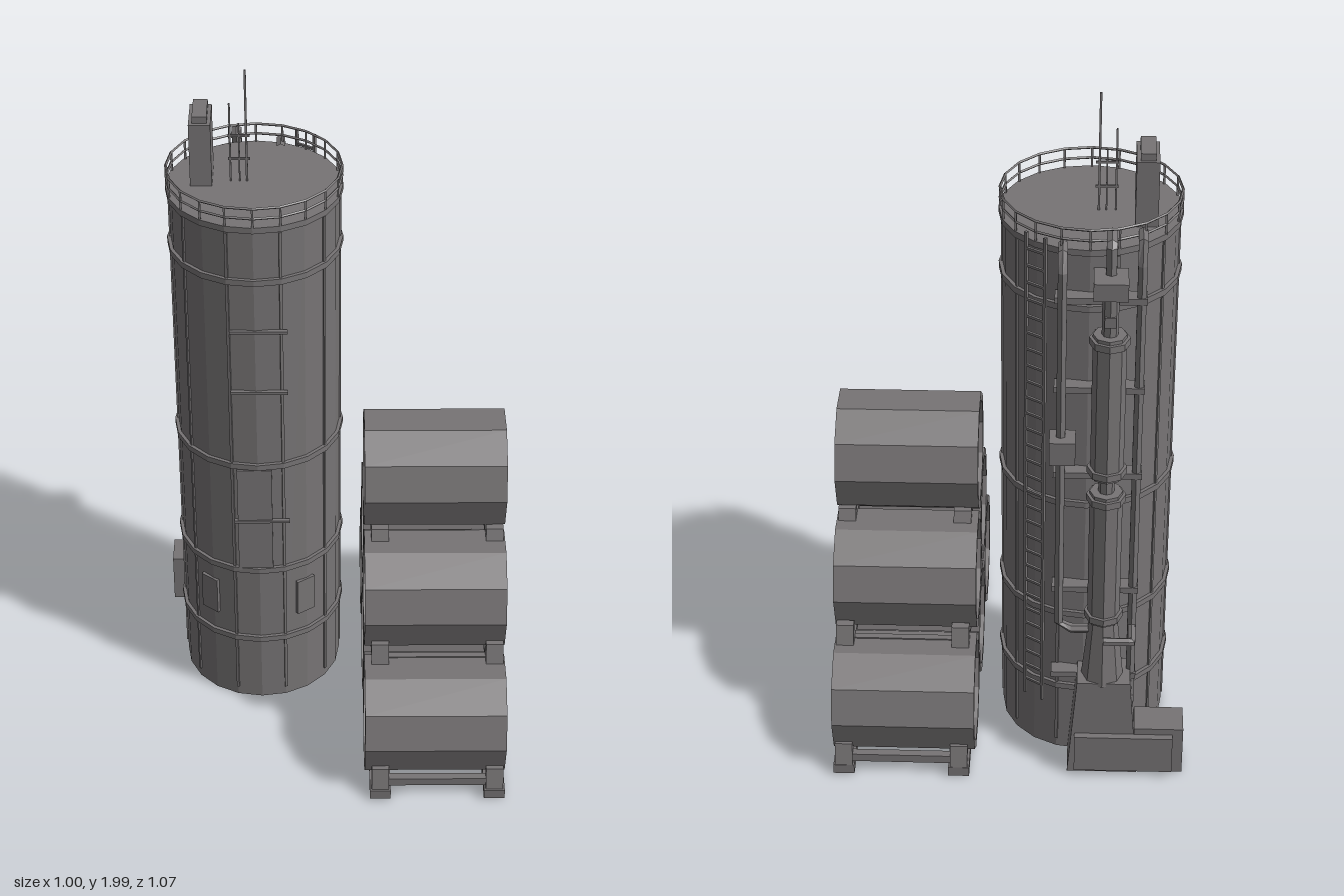
import * as THREE from 'three';

export function createModel() {
  const root = new THREE.Group();
  const steel = new THREE.MeshStandardMaterial({ color: 0x777475, flatShading: true });
  steel.name = 'grey steel';

  const add = (name, geo, x = 0, y = 0, z = 0, parent = root) => {
    const m = new THREE.Mesh(geo, steel);
    m.name = name;
    m.position.set(x, y, z);
    parent.add(m);
    return m;
  };
  const group = (name, x = 0, y = 0, z = 0) => {
    const g = new THREE.Group();
    g.name = name;
    g.position.set(x, y, z);
    root.add(g);
    return g;
  };
  // Box given by its minimum and maximum corners
  const block = (name, x0, x1, y0, y1, z0, z1, parent = root) =>
    add(name, new THREE.BoxGeometry(x1 - x0, y1 - y0, z1 - z0), (x0 + x1) / 2, (y0 + y1) / 2, (z0 + z1) / 2, parent);
  // Tube along straight segments with softened corners
  const pipe = (name, pts, r, parent = root) => {
    const path = new THREE.CurvePath();
    const v = pts.map(p => new THREE.Vector3(...p));
    for (let i = 1; i < v.length; i++) path.add(new THREE.LineCurve3(v[i - 1], v[i]));
    return add(name, new THREE.TubeGeometry(path, 24, r, 6), 0, 0, 0, parent);
  };

  // Tank shell
  const TX = -0.22, TZ = -0.155, R = 0.235, SIDES = 20;
  const tank = group('tank', TX, 0, TZ);
  add('tankShell', new THREE.CylinderGeometry(R, R, 1.65, SIDES), 0, 0.835, 0, tank);
  for (const y of [0.24, 0.5, 0.875, 1.49, 1.655])
    add('tankBand', new THREE.CylinderGeometry(R + 0.01, R + 0.01, 0.018, SIDES), 0, y, 0, tank);

  // Upright seams around the shell
  for (let i = 0; i < 10; i++) {
    const a = (i / 10) * Math.PI * 2 + Math.PI / 10;
    const s = add('seam', new THREE.BoxGeometry(0.008, 1.6, 0.008), Math.sin(a) * R, 0.84, Math.cos(a) * R, tank);
    s.rotation.y = a;
  }
  // Raised hatches and short step bars on the front
  for (const a of [-0.68, 0.6]) {
    const h = add('hatch', new THREE.BoxGeometry(0.06, 0.12, 0.012), Math.sin(a) * R, 0.375, Math.cos(a) * R, tank);
    h.rotation.y = a;
  }
  for (const y of [0.68, 1.13, 1.33])
    add('stepBar', new THREE.BoxGeometry(0.16, 0.008, 0.012), 0.01, y, R, tank);
  block('servicePlate', -0.06, 0.04, 0.5, 0.86, R - 0.006, R + 0.002, tank);

  // Roof guard rail
  for (const y of [1.69, 1.72])
    add('guardRail', new THREE.TorusGeometry(R + 0.006, 0.004, 4, SIDES).rotateX(Math.PI / 2), 0, y, 0, tank);
  for (let i = 0; i < SIDES; i++) {
    const a = (i / SIDES) * Math.PI * 2;
    add('railPost', new THREE.BoxGeometry(0.006, 0.06, 0.006), Math.sin(a) * (R + 0.006), 1.69, Math.cos(a) * (R + 0.006), tank);
  }

  // Roof vent and aerials
  const vent = group('roofVent');
  block('ventBox', -0.395, -0.335, 1.66, 1.85, -0.265, -0.14, vent);
  block('ventCap', -0.385, -0.345, 1.85, 1.87, -0.255, -0.15, vent);
  const aerial = group('aerial');
  block('aerialMast', -0.243, -0.237, 1.66, 2, -0.173, -0.167, aerial);
  block('aerialSide', -0.287, -0.282, 1.66, 1.9, -0.173, -0.167, aerial);
  block('aerialSide', -0.262, -0.258, 1.66, 1.84, -0.173, -0.167, aerial);
  for (const y of [1.73, 1.8])
    block('aerialBar', -0.29, -0.23, y, y + 0.006, -0.173, -0.167, aerial);

  // Process columns behind the tank
  const plant = group('pipework');
  for (const [y0, y1] of [[0.52, 0.95], [1.0, 1.44]]) {
    add('column', new THREE.CylinderGeometry(0.045, 0.045, y1 - y0, 8), -0.275, (y0 + y1) / 2, -0.435, plant);
    add('columnFlange', new THREE.CylinderGeometry(0.054, 0.054, 0.02, 8), -0.275, y0 + 0.02, -0.435, plant);
    add('columnFlange', new THREE.CylinderGeometry(0.054, 0.054, 0.02, 8), -0.275, y1 - 0.02, -0.435, plant);
  }
  add('columnStem', new THREE.CylinderGeometry(0.022, 0.022, 1.4, 8), -0.275, 0.9, -0.435, plant);
  block('columnHead', -0.32, -0.23, 1.56, 1.61, -0.48, -0.39, plant);
  block('columnBracket', -0.29, -0.26, 1.47, 1.5, -0.46, -0.37, plant);
  pipe('ventPipe', [[-0.275, 1.69, -0.35], [-0.275, 1.69, -0.42], [-0.275, 1.6, -0.42]], 0.016, plant);
  pipe('downPipe', [[-0.355, 1.69, -0.34], [-0.355, 1.69, -0.41], [-0.355, 0.2, -0.41]], 0.014, plant);
  pipe('downPipe', [[-0.15, 1.66, -0.36], [-0.15, 1.66, -0.43], [-0.15, 0.48, -0.43], [-0.24, 0.48, -0.43]], 0.014, plant);
  pipe('crossPipe', [[-0.355, 0.48, -0.41], [-0.355, 0.48, -0.49], [-0.275, 0.48, -0.49]], 0.012, plant);
  block('valveBox', -0.19, -0.12, 1.05, 1.12, -0.47, -0.4, plant);
  for (const y of [0.3, 0.6, 0.98, 1.25, 1.52])
    block('pipeClamp', -0.37, -0.13, y, y + 0.018, -0.425, -0.38, plant);

  // Base machinery: tapered cabinet and side box
  const cabinet = new THREE.BoxGeometry(0.2, 0.32, 0.12);
  const p = cabinet.attributes.position;
  for (let i = 0; i < p.count; i++) if (p.getY(i) > 0) p.setX(i, p.getX(i) * 0.75);
  add('pumpCabinet', cabinet, -0.28, 0.17, -0.43, plant);
  block('pumpBox', -0.51, -0.37, 0.015, 0.17, -0.49, -0.39, plant);
  block('pumpBackPlate', -0.48, -0.2, 0.03, 0.15, -0.51, -0.485, plant);
  add('pumpNeck', new THREE.CylinderGeometry(0.04, 0.06, 0.2, 8), -0.275, 0.42, -0.435, plant);

  // Service ladder
  const ladder = group('ladder', -0.08, 0, -0.385);
  ladder.rotation.y = -0.6;
  for (const x of [-0.03, 0.03]) block('ladderRail', x - 0.004, x + 0.004, 0.2, 1.7, -0.004, 0.004, ladder);
  for (let y = 0.25; y < 1.68; y += 0.05) block('rung', -0.03, 0.03, y, y + 0.007, -0.004, 0.003, ladder);

  // Stacked open pipe sections, 3-2-1
  const X0 = 0.085, X1 = 0.49, PR = 0.175, IN = 0.15;
  const ring = new THREE.LatheGeometry(
    [[PR, X0], [PR, X1], [IN, X1], [IN, X0], [PR, X0]].map(([r, x]) => new THREE.Vector2(r, x - (X0 + X1) / 2)), 10);
  ring.rotateZ(Math.PI / 2);
  const stack = group('pipeStack');
  const rows = [[0.19, [0.35, 0, -0.355]], [0.495, [0.155, -0.18]], [0.8, [-0.02]]];
  for (const [y, zs] of rows)
    for (const z of zs) add('pipeSection', ring, (X0 + X1) / 2, y, z, stack);

  // Cradle wedge: trapezoid extruded across the cradle width
  const wedge = (x, y, z, w, h) => {
    const s = new THREE.Shape([[-w, 0], [w, 0], [w * 0.35, h], [-w * 0.35, h]].map(q => new THREE.Vector2(...q)));
    const g = new THREE.ExtrudeGeometry(s, { depth: 0.05, bevelEnabled: false }).rotateY(Math.PI / 2);
    add('wedge', g, x - 0.025, y, z, stack);
  };
  for (const x of [0.13, 0.46]) {
    block('groundRail', x - 0.03, x + 0.03, 0.015, 0.045, -0.53, 0.535, stack);
    for (const z of [0.505, 0.175, -0.178, -0.505]) wedge(x, 0.04, z, z > 0.4 || z < -0.4 ? 0.025 : 0.07, 0.07);
    for (const z of [0.31, -0.345]) wedge(x, 0.335, z, 0.035, 0.08);
    wedge(x, 0.33, -0.01, 0.07, 0.07);
    for (const z of [0.13, -0.165]) wedge(x, 0.635, z, 0.035, 0.06);
    block('cradleRail', x - 0.025, x + 0.025, 0.33, 0.35, -0.36, 0.33, stack);
    block('cradleRail', x - 0.025, x + 0.025, 0.637, 0.655, -0.19, 0.15, stack);
  }
  for (const z of [0.505, -0.505])
    block('groundCrossbar', 0.13, 0.46, 0.05, 0.075, z - 0.012, z + 0.012, stack);
  for (const z of [0.3, -0.33]) block('cradleCrossbar', 0.13, 0.46, 0.345, 0.36, z - 0.01, z + 0.01, stack);

  return root;
}
